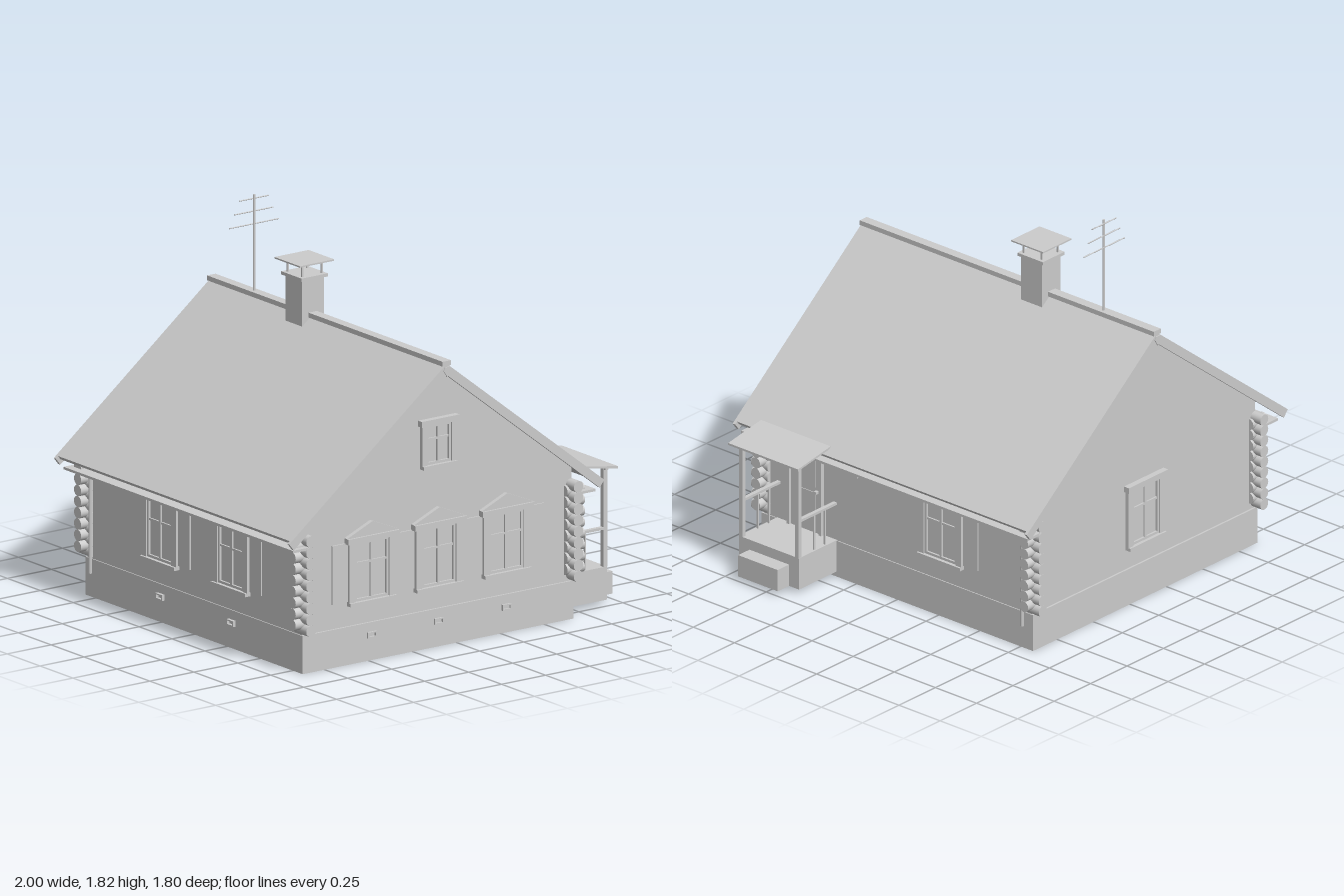
import * as THREE from 'three';

const CX = -0.105;                 // centre line of the house
const HX = 0.765, HZ = 0.815;      // half width and half depth of the walls
const SLOPE = 0.784, RIDGE = 1.352; // roof pitch and ridge height
const mat = new THREE.MeshStandardMaterial({ color: 0xcccccc, side: THREE.DoubleSide });

function add(parent, name, geo, x = 0, y = 0, z = 0) {
  const m = new THREE.Mesh(geo, mat);
  m.name = name;
  m.position.set(x, y, z);
  parent.add(m);
  return m;
}

// Box given by its limits
function box(parent, name, x0, x1, y0, y1, z0, z1) {
  return add(parent, name, new THREE.BoxGeometry(x1 - x0, y1 - y0, z1 - z0),
    (x0 + x1) / 2, (y0 + y1) / 2, (z0 + z1) / 2);
}

// Polygon in x, y extruded from z0 to z1
function prism(parent, name, pts, z0, z1) {
  const shape = new THREE.Shape(pts.map(p => new THREE.Vector2(p[0], p[1])));
  return add(parent, name, new THREE.ExtrudeGeometry(shape, { depth: z1 - z0, bevelEnabled: false }), 0, 0, z0);
}

// Inverted V of half width w and thickness t, for roof and barge boards
function chevron(parent, name, w, t, top, z0, z1) {
  const a = Math.atan(SLOPE), yEnd = top - SLOPE * w;
  const dx = t * Math.sin(a), dy = t * Math.cos(a);
  return prism(parent, name, [
    [CX, top], [CX + w, yEnd], [CX + w - dx, yEnd - dy], [CX, top - t / Math.cos(a)],
    [CX - w + dx, yEnd - dy], [CX - w, yEnd]], z0, z1);
}

// Group lying on a wall: local x runs along the wall, local z points outwards
function onWall(parent, name, side, along) {
  const g = new THREE.Group();
  g.name = name;
  if (side === 'front') g.position.set(along, 0, HZ);
  if (side === 'back') { g.position.set(along, 0, -HZ); g.rotation.y = Math.PI; }
  if (side === 'left') { g.position.set(CX + HX, 0, along); g.rotation.y = Math.PI / 2; }
  if (side === 'right') { g.position.set(CX - HX, 0, along); g.rotation.y = -Math.PI / 2; }
  parent.add(g);
  return g;
}

// Framed window with cross bars; pediment or flat head, optional shutters
function windowUnit(g, w, y0, y1, { pediment = false, shutters = false } = {}) {
  const j = w * 0.27, inner = w - j, b = 0.012, mid = y0 + (y1 - y0) * 0.64;
  box(g, 'glass', -inner, inner, y0, y1, -0.01, 0.003);
  for (const s of [-1, 1]) {
    const xs = [s * inner, s * w].sort((a, c) => a - c);
    box(g, 'jamb', xs[0], xs[1], y0 - 0.01, y1, -0.01, 0.02);
    const sx = s * (inner - b / 2);
    box(g, 'sashSide', sx - b / 2, sx + b / 2, y0, y1, 0, 0.013);
  }
  box(g, 'sashBottom', -inner, inner, y0, y0 + b, 0, 0.013);
  box(g, 'sashTop', -inner, inner, y1 - b, y1, 0, 0.013);
  box(g, 'mullion', -0.006, 0.006, y0, y1, 0, 0.012);
  box(g, 'transom', -inner, inner, mid - 0.005, mid + 0.005, 0, 0.011);
  box(g, 'sill', -w, w, y0 - 0.016, y0, -0.01, 0.03);
  if (pediment) {
    prism(g, 'pediment', [[-w - 0.014, y1], [w + 0.014, y1], [w + 0.014, y1 + 0.028],
      [0, y1 + 0.09], [-w - 0.014, y1 + 0.028]], -0.01, 0.022);
    box(g, 'pedimentLedge', -w - 0.014, w + 0.014, y1, y1 + 0.026, 0, 0.032);
  } else {
    box(g, 'head', -w - 0.01, w + 0.01, y1, y1 + 0.028, -0.01, 0.03);
  }
  if (shutters) {
    box(g, 'shutter', -w - 0.088, -w, y0 + 0.005, y1 + 0.003, -0.005, 0.008);
    box(g, 'shutter', w, w + 0.088, y0 + 0.005, y1 + 0.003, -0.005, 0.007);
  }
}

// Small frame round an air vent in the foundation
function vent(parent, side, along) {
  const g = onWall(parent, 'vent', side, along);
  box(g, 'ventTop', -0.025, 0.025, 0.13, 0.136, 0, 0.02);
  box(g, 'ventBottom', -0.025, 0.025, 0.108, 0.114, 0, 0.02);
  for (const s of [-1, 1]) box(g, 'ventSide', s * 0.022 - 0.003, s * 0.022 + 0.003, 0.114, 0.13, 0, 0.02);
}

export function createModel() {
  const house = new THREE.Group();
  house.name = 'logHouse';

  // Foundation and walls with gables
  box(house, 'foundation', CX - 0.77, CX + 0.77, 0, 0.18, -0.825, 0.825);
  const under = RIDGE - 0.03, eaveY = under - SLOPE * HX;
  prism(house, 'walls', [[CX - HX, 0.18], [CX + HX, 0.18], [CX + HX, eaveY], [CX, under], [CX - HX, eaveY]], -HZ, HZ);

  // Crossing log ends at the four corners
  const logs = new THREE.Group();
  logs.name = 'cornerLogs';
  house.add(logs);
  const logGeo = new THREE.CylinderGeometry(0.027, 0.027, 0.1, 16);
  for (const sx of [-1, 1]) for (const sz of [-1, 1]) {
    for (let i = 0; i < 9; i++) {
      const y = 0.212 + i * 0.053;
      add(logs, 'sideLog', logGeo, CX + sx * 0.76, y, sz * 0.825).rotation.x = Math.PI / 2;
      if (i < 8) add(logs, 'crossLog', logGeo, CX + sx * 0.772, y + 0.0265, sz * 0.815).rotation.z = Math.PI / 2;
    }
  }

  // Roof, barge boards, ridge cap
  chevron(house, 'roof', 0.882, 0.022, RIDGE, -0.89, 0.885);
  chevron(house, 'frontBargeBoard', 0.895, 0.042, RIDGE, 0.875, 0.89);
  chevron(house, 'backBargeBoard', 0.895, 0.042, RIDGE, -0.898, -0.883);
  box(house, 'ridgeCap', CX - 0.024, CX + 0.024, 1.342, 1.365, -0.898, 0.89);
  for (const z of [-0.903, 0.888]) {
    prism(house, 'gableOrnament', [[CX, 1.29], [CX + 0.02, 1.32], [CX + 0.012, 1.337],
      [CX - 0.012, 1.337], [CX - 0.02, 1.32]], z, z + 0.007);
  }

  // Eave boards and rear downpipes
  for (const s of [-1, 1]) {
    const x = CX + s * 0.81;
    box(house, 'eaveBoard', x - 0.05, x + 0.05, 0.597, 0.609, -0.87, 0.87);
    add(house, 'downpipe', new THREE.CylinderGeometry(0.009, 0.009, 0.49, 10), CX + s * 0.783, 0.36, -0.77);
  }

  // Chimney with collar, posts and rain cap
  box(house, 'chimney', -0.165, -0.04, 1.3, 1.525, -0.255, -0.128);
  box(house, 'chimneyCollar', -0.178, -0.028, 1.522, 1.537, -0.27, -0.115);
  for (const x of [-0.157, -0.048]) for (const z of [-0.247, -0.137]) {
    box(house, 'capPost', x - 0.004, x + 0.004, 1.537, 1.598, z - 0.004, z + 0.004);
  }
  box(house, 'chimneyCap', -0.2, -0.005, 1.596, 1.603, -0.292, -0.098);

  // Aerial
  add(house, 'aerialMast', new THREE.CylinderGeometry(0.006, 0.006, 0.48, 10), CX, 1.58, -0.572);
  [[1.68, 0.14], [1.74, 0.11], [1.8, 0.083]].forEach(([y, w]) => {
    add(house, 'aerialRod', new THREE.CylinderGeometry(0.003, 0.003, 2 * w, 8), CX, y, -0.575).rotation.z = Math.PI / 2;
  });

  // Windows
  const main = { pediment: true, shutters: true };
  for (const x of [-0.485, CX, 0.28]) {
    windowUnit(onWall(house, 'frontWindow', 'front', x), 0.132, 0.292, 0.572, main);
    vent(house, 'front', x);
  }
  windowUnit(onWall(house, 'atticWindow', 'front', CX), 0.097, 0.868, 1.056);
  windowUnit(onWall(house, 'backWindow', 'back', CX), 0.125, 0.292, 0.572);
  windowUnit(onWall(house, 'porchSideWindow', 'left', -0.27), 0.132, 0.292, 0.572, main);
  for (const z of [-0.25, 0.29]) {
    windowUnit(onWall(house, 'sideWindow', 'right', z), 0.132, 0.292, 0.572, main);
    vent(house, 'right', z);
  }

  // Door with panels and handle
  const door = onWall(house, 'door', 'left', 0.555);
  box(door, 'doorLeaf', -0.09, 0.09, 0.18, 0.58, -0.01, 0.008);
  for (const s of [-1, 1]) box(door, 'doorJamb', s * 0.097 - 0.008, s * 0.097 + 0.008, 0.18, 0.595, -0.01, 0.02);
  box(door, 'doorHead', -0.105, 0.105, 0.58, 0.595, -0.01, 0.02);
  box(door, 'upperPanel', -0.06, 0.06, 0.41, 0.56, 0, 0.012);
  box(door, 'lowerPanel', -0.06, 0.06, 0.22, 0.385, 0, 0.012);
  box(door, 'doorHandle', 0.063, 0.08, 0.385, 0.397, 0, 0.025);
  const meter = onWall(house, 'wallBox', 'left', 0.28);
  box(meter, 'wallBoxBody', -0.04, 0.04, 0.535, 0.583, -0.005, 0.012);

  // Porch deck, step, posts, railings and lean-to roof
  const porch = new THREE.Group();
  porch.name = 'porch';
  house.add(porch);
  box(porch, 'deck', 0.66, 0.922, 0.025, 0.182, 0.37, 0.735);
  box(porch, 'step', 0.922, 1.0, 0.025, 0.132, 0.43, 0.67);
  for (const z of [0.382, 0.723]) {
    box(porch, 'post', 0.902, 0.924, 0.18, 0.66, z - 0.011, z + 0.011);
    box(porch, 'handrail', 0.66, 0.905, 0.358, 0.37, z - 0.01, z + 0.01);
    for (const x of [0.73, 0.805]) box(porch, 'baluster', x - 0.004, x + 0.004, 0.18, 0.36, z - 0.004, z + 0.004);
  }
  box(porch, 'roofBeam', 0.905, 0.921, 0.642, 0.656, 0.36, 0.745);
  prism(porch, 'porchRoof', [[0.74, 0.682], [0.965, 0.645], [0.965, 0.655], [0.74, 0.692]], 0.338, 0.762);

  return house;
}
